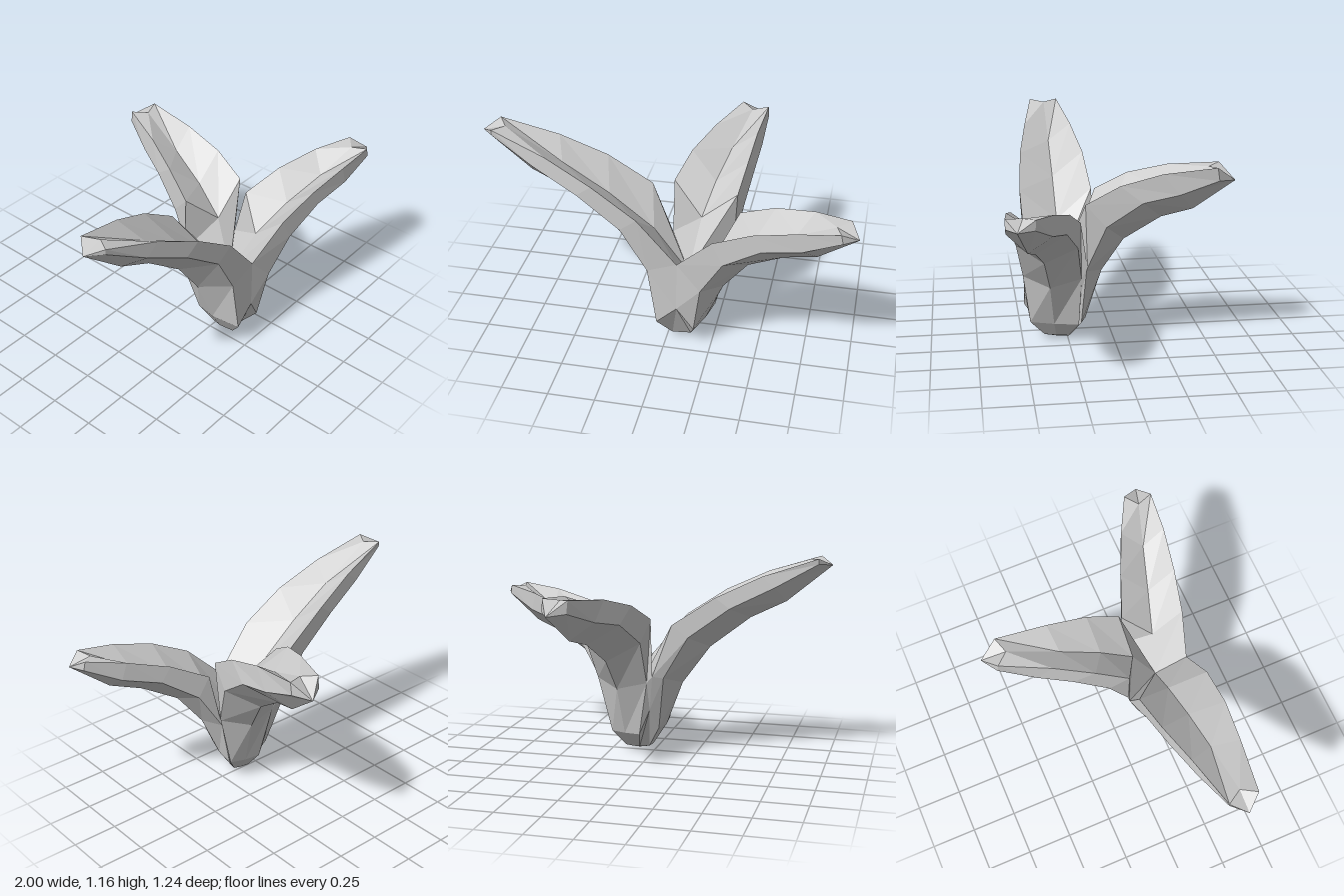
import * as THREE from 'three';

const V = (x, y, z) => new THREE.Vector3(x, y, z);
const material = new THREE.MeshStandardMaterial({ color: 0xcccccc, flatShading: true });

// Shared points where the three leaves grow together
const heart = V(0.1, 0.38, 0.3);
const bottom = V(0.1, 0, 0.3);
const notches = [V(-0.03, 0.48, 0.08), V(0.32, 0.46, 0.16), V(0.07, 0.53, 0.475)];
const creases = [V(0, 0.27, 0.14), V(0.26, 0.29, 0.19), V(0.07, 0.25, 0.48)];

// Depth of the channel below the rims, from root to tip
const channelDepth = [0.16, 0.13, 0.09, 0.01];

// low and root: half width, shoulder [out, y], keel [out, y], optional sideways shift
// rows: half width, shoulder [out, y], keel [out, y], rim [out, y]
const rightLeaf = {
  name: 'rightLeaf', origin: [0.1, 0.285], dir: [-1, 0],
  low: [0.14, 0.14, 0.15, 0.16, 0.15, -0.055],
  root: [0.185, 0.19, 0.47, 0.26, 0.41],
  rows: [
    [0.2, 0.33, 0.71, 0.42, 0.63, 0.24, 0.78],
    [0.18, 0.56, 0.88, 0.65, 0.81, 0.48, 0.94],
    [0.135, 0.8, 1.0, 0.85, 0.91, 0.73, 1.06],
    [0.08, 1.03, 1.13, 1.1, 1.12, 1.03, 1.16],
  ],
};
const backLeaf = {
  name: 'backLeaf', origin: [0.115, 0.3], dir: [0.245, -0.97],
  low: [0.09, 0.14, 0.12, 0.15, 0.12],
  root: [0.16, 0.18, 0.44, 0.24, 0.4],
  rows: [
    [0.185, 0.29, 0.69, 0.36, 0.58, 0.18, 0.81],
    [0.165, 0.48, 0.82, 0.56, 0.71, 0.36, 0.91],
    [0.125, 0.67, 0.86, 0.73, 0.76, 0.58, 0.97],
    [0.078, 0.87, 0.93, 0.95, 0.92, 0.86, 1.0],
  ],
};
const leftLeaf = {
  name: 'leftLeaf', origin: [0.1, 0.3], dir: [0.96, 0.28],
  low: [0.135, 0.1, 0.11, 0.11, 0.11],
  root: [0.16, 0.15, 0.39, 0.21, 0.35],
  rows: [
    [0.17, 0.28, 0.6, 0.35, 0.53, 0.22, 0.72],
    [0.15, 0.48, 0.73, 0.55, 0.64, 0.43, 0.82],
    [0.12, 0.69, 0.78, 0.73, 0.7, 0.66, 0.88],
    [0.075, 0.88, 0.86, 0.94, 0.86, 0.87, 0.91],
  ],
};

// Flat-shaded mesh from a list of polygons, each split as a fan
function facetMesh(name, polygons) {
  const points = [];
  for (const p of polygons) {
    for (let i = 1; i < p.length - 1; i++) points.push(p[0], p[i], p[i + 1]);
  }
  const geometry = new THREE.BufferGeometry().setFromPoints(points);
  geometry.computeVertexNormals();
  const mesh = new THREE.Mesh(geometry, material);
  mesh.name = name;
  return mesh;
}

// Join two strips of points with quads
function bridge(inner, outer, closed = false) {
  const quads = [];
  const n = inner.length;
  for (let i = 0; i < (closed ? n : n - 1); i++) {
    const j = (i + 1) % n;
    quads.push([inner[i], inner[j], outer[j], outer[i]]);
  }
  return quads;
}

export function createModel() {
  const group = new THREE.Group();
  const bodyFaces = [];

  const parts = [rightLeaf, backLeaf, leftLeaf].map((leaf, n) => {
    const [dx, dz] = leaf.dir;
    const at = (out, y, side) =>
      V(leaf.origin[0] + dx * out - dz * side, y, leaf.origin[1] + dz * out + dx * side);
    // Underside strip: shoulder, keel, shoulder
    const under = (w, s, y, ks, ky, shift = 0) =>
      [at(s, y, shift + w), at(ks, ky, shift / 2), at(s, y, shift - w)];

    // Each section is a channelled hexagon
    const root = under(...leaf.root);
    const sections = [[notches[(n + 2) % 3], heart, notches[n], ...root]];
    leaf.rows.forEach(([w, s, y, ks, ky, rimOut, rimY], k) => {
      const valley = at(rimOut - 0.05, rimY - channelDepth[k], 0);
      sections.push([
        at(rimOut, rimY, -w), valley, at(rimOut, rimY, w),
        ...under(w * 0.97, s, y, ks, ky),
      ]);
    });

    const faces = [];
    for (let k = 0; k < sections.length - 1; k++) {
      faces.push(...bridge(sections[k], sections[k + 1], true));
    }
    // Pointed tip
    const [rimA, valley, rimB, shoulderB, tip, shoulderA] = sections[sections.length - 1];
    faces.push([tip, shoulderA, rimA, valley, rimB, shoulderB]);
    group.add(facetMesh(leaf.name, faces));

    // Body below the leaf
    const low = under(...leaf.low);
    const foot = low.map((p) => V(0.1 + (p.x - 0.1) * 0.5, 0.025, 0.3 + (p.z - 0.3) * 0.5));
    bodyFaces.push(...bridge(low, root), ...bridge(foot, low));
    bodyFaces.push([bottom, foot[1], foot[0]], [bottom, foot[2], foot[1]]);
    return { root, low, foot };
  });

  // Creased panels between neighbouring leaves
  parts.forEach((a, n) => {
    const b = parts[(n + 1) % 3];
    bodyFaces.push([
      creases[n], a.low[0], a.root[0], notches[n], b.root[2], b.low[2],
      b.foot[2], a.foot[0], a.low[0],
    ]);
    bodyFaces.push([bottom, a.foot[0], b.foot[2]]);
  });
  group.add(facetMesh('stemBase', bodyFaces));
  return group;
}
